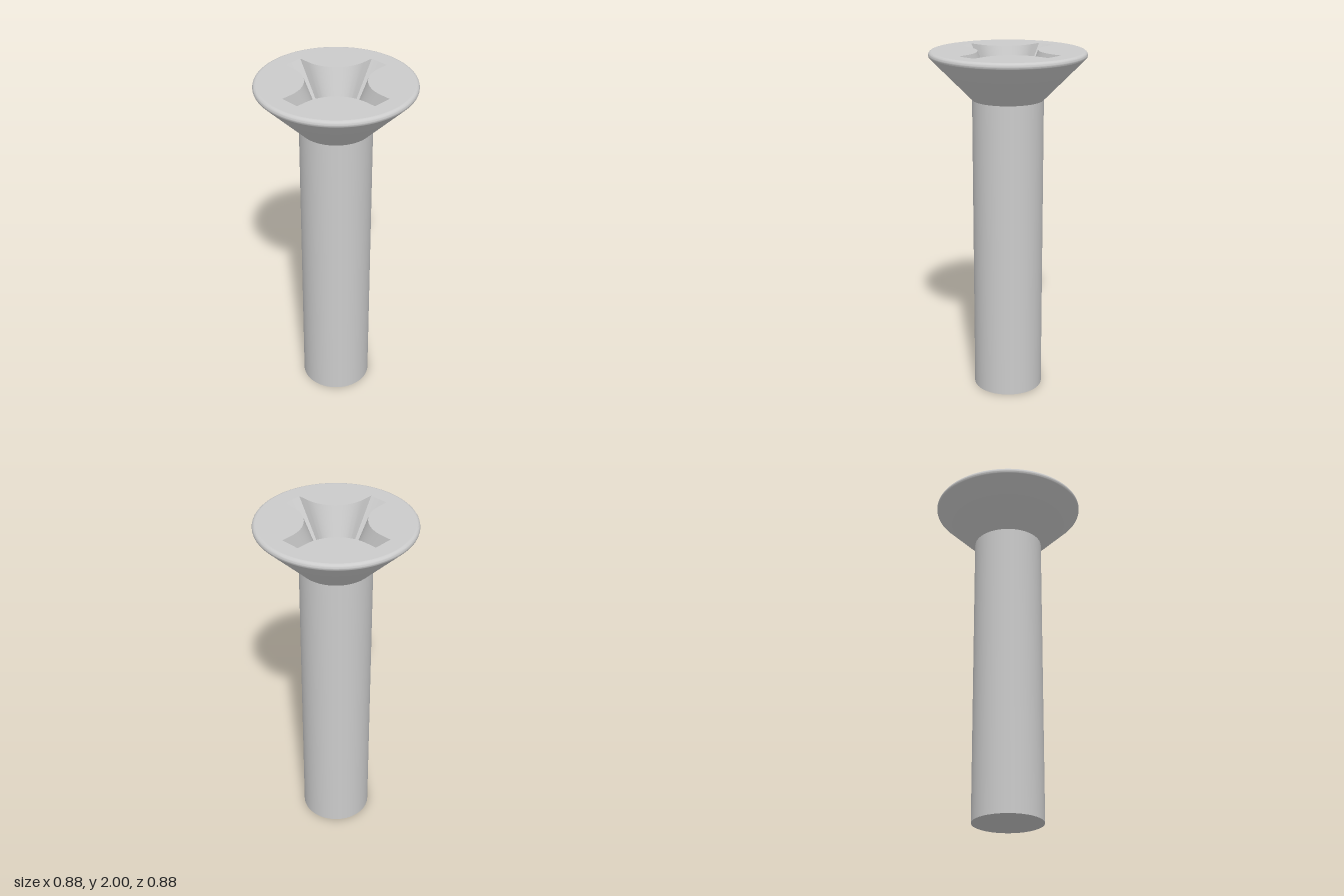
import * as THREE from 'three';
import { toCreasedNormals } from 'three/addons/utils/BufferGeometryUtils.js';

const material = new THREE.MeshStandardMaterial({ color: 0xcccccc });
const SEGMENTS = 96;
const HEAD_BASE = 1.73, TOP = 2, RIM = 0.02, RIM_CENTRE = 0.418;

function addMesh(group, name, geometry) {
  const mesh = new THREE.Mesh(geometry, material);
  mesh.name = name;
  group.add(mesh);
}

function lathe(points) {
  const g = new THREE.LatheGeometry(points.map(([r, y]) => new THREE.Vector2(r, y)), SEGMENTS);
  return toCreasedNormals(g, 0.5);
}

// Cross outline: four arms joined by concave fillets, counter-clockwise
function crossOutline(halfWidth, reach, fillet, bulge) {
  const quarter = [];
  for (let i = 0; i <= 4; i++) {
    const t = i / 2 - 1;
    quarter.push(new THREE.Vector2(reach + bulge * (1 - t * t), t * halfWidth));
  }
  const c = halfWidth + fillet;
  for (let i = 0; i <= 16; i++) {
    const a = -Math.PI / 2 * (1 + i / 16);
    quarter.push(new THREE.Vector2(c + fillet * Math.cos(a), c + fillet * Math.sin(a)));
  }
  const outline = [];
  for (let k = 0; k < 4; k++) {
    for (const p of quarter) outline.push(p.clone().rotateAround(new THREE.Vector2(), k * Math.PI / 2));
  }
  return outline;
}

// Inward-facing wall between two outlines at different heights
function loftWall(upper, yUpper, lower, yLower) {
  const positions = [], index = [], n = upper.length;
  for (let i = 0; i < n; i++) {
    positions.push(upper[i].x, yUpper, -upper[i].y, lower[i].x, yLower, -lower[i].y);
    const a = 2 * i, b = 2 * ((i + 1) % n);
    index.push(b, b + 1, a + 1, b, a + 1, a);
  }
  const g = new THREE.BufferGeometry();
  g.setAttribute('position', new THREE.Float32BufferAttribute(positions, 3));
  g.setIndex(index);
  return toCreasedNormals(g, 0.5);
}

function flatFace(shape, y) {
  return new THREE.ShapeGeometry(shape, SEGMENTS).rotateX(-Math.PI / 2).translate(0, y, 0);
}

export function createModel() {
  const group = new THREE.Group();

  // Plain cylindrical shank with a flat end
  addMesh(group, 'shank', lathe([[0, 0], [0.2, 0], [0.2, HEAD_BASE]]));

  // Countersunk cone with a rounded rim
  const profile = [[0.2, HEAD_BASE]];
  for (let i = 0; i <= 8; i++) {
    const a = -Math.PI / 4 + (i / 8) * Math.PI * 0.75;
    profile.push([RIM_CENTRE + RIM * Math.cos(a), TOP - RIM + RIM * Math.sin(a)]);
  }
  addMesh(group, 'headCone', lathe(profile));

  // Tapered cross recess
  const upper = crossOutline(0.055, 0.33, 0.215, 0);
  const lower = crossOutline(0.021, 0.125, 0.087, 0.002);
  const floorY = TOP - 0.27;

  // Flat head top, pierced by the recess
  const disc = new THREE.Shape();
  const rim = [];
  for (let i = 0; i < SEGMENTS; i++) {
    const a = (i / SEGMENTS) * Math.PI * 2;
    rim.push(new THREE.Vector2(RIM_CENTRE * Math.cos(a), RIM_CENTRE * Math.sin(a)));
  }
  disc.setFromPoints(rim);
  disc.holes.push(new THREE.Path(upper));
  addMesh(group, 'headTop', flatFace(disc, TOP));

  addMesh(group, 'recessWall', loftWall(upper, TOP, lower, floorY));
  addMesh(group, 'recessFloor', flatFace(new THREE.Shape(lower), floorY));

  return group;
}
